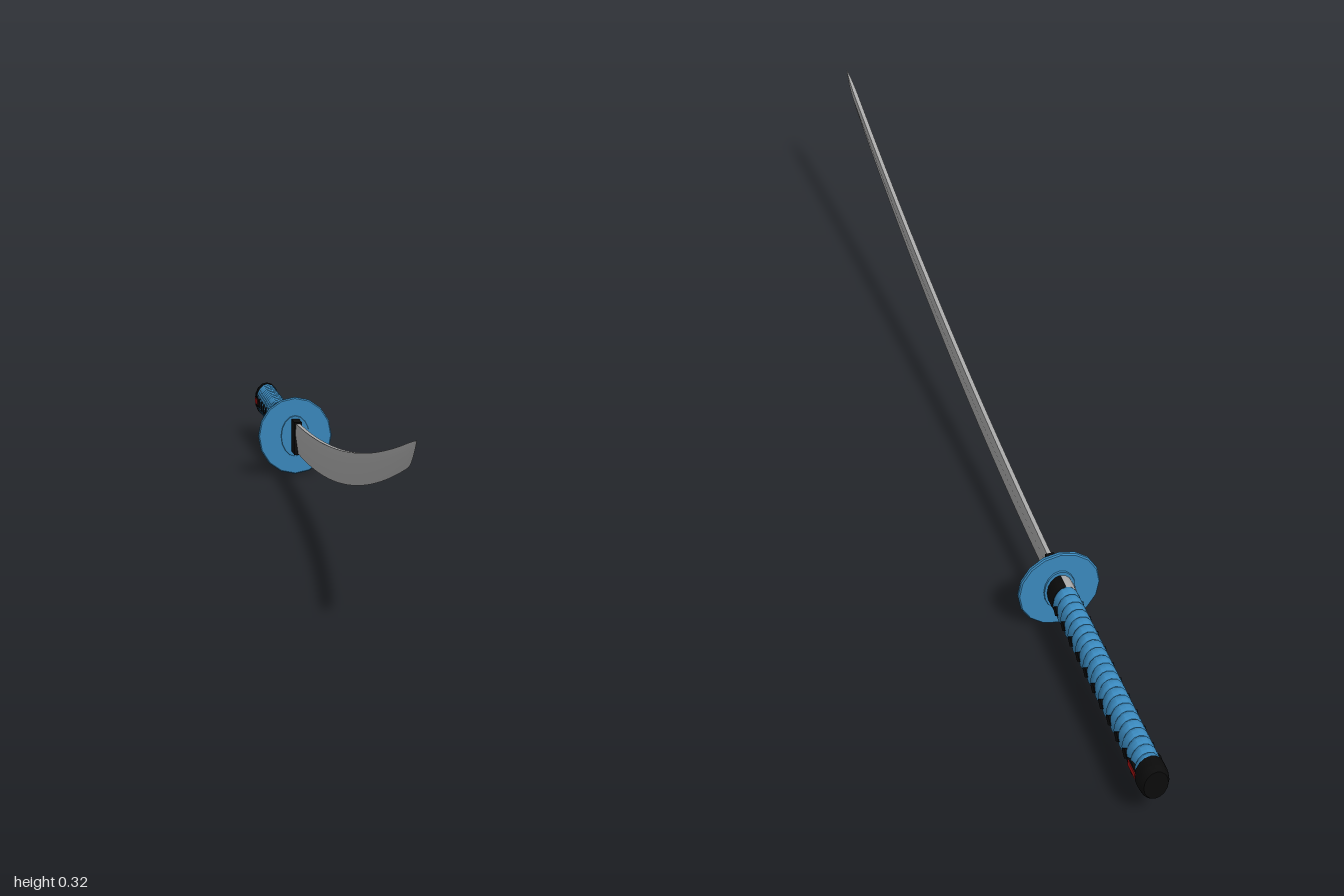
import * as THREE from 'three';
import { toCreasedNormals } from 'three/addons/utils/BufferGeometryUtils.js';

const AXIS_Y = 0.085; // height of the grip axis

function material(name, color) {
  const m = new THREE.MeshStandardMaterial({ color });
  m.name = name;
  return m;
}

// Oval solid along z: profile is [relative radius, z] with z ascending
function oval(profile, rx, ry, sides = 16, start = 0, length = Math.PI * 2) {
  const g = new THREE.LatheGeometry(profile.map(p => new THREE.Vector2(p[0], p[1])), sides, start, length);
  g.rotateX(Math.PI / 2);
  g.scale(rx, ry, 1);
  return toCreasedNormals(g, 0.7);
}

const slab = (z0, z1, bevel = 0.97) => {
  const b = (z1 - z0) * 0.25;
  return [[0, z0], [bevel, z0], [1, z0 + b], [1, z1 - b], [bevel, z1], [0, z1]];
};

// Curved blade swept from five-sided cross-sections, closing to a point
function bladeGeometry() {
  const pos = [], index = [], zs = [];
  for (let i = 0; i <= 32; i++) zs.push(-0.46 + 1.38 * i / 32);
  for (let i = 1; i <= 8; i++) zs.push(0.92 + 0.08 * Math.sin(i / 8 * Math.PI / 2));
  zs.forEach(z => {
    const u = z + 0.43;
    const spine = 0.118 + 0.0375 * u + 0.075 * u * u;
    const f = Math.max(0, (z - 0.92) / 0.08);
    let edge = 0.055 + 0.022 * u + 0.1 * u * u;
    edge += (spine - edge) * f * f * 0.99;
    const ridge = edge + (spine - edge) * 0.68;
    const w = 1 - 0.95 * f * f;
    pos.push(0.004 * w, spine, z, -0.004 * w, spine, z, -0.006 * w, ridge, z, 0, edge, z, 0.006 * w, ridge, z);
  });
  for (let i = 0; i < zs.length - 1; i++) {
    for (let k = 0; k < 5; k++) {
      const a = i * 5 + k, b = i * 5 + (k + 1) % 5;
      index.push(a, b, b + 5, a, b + 5, a + 5);
    }
  }
  const e = (zs.length - 1) * 5;
  for (let k = 1; k < 4; k++) index.push(0, k + 1, k, e, e + k, e + k + 1);
  const g = new THREE.BufferGeometry();
  g.setAttribute('position', new THREE.Float32BufferAttribute(pos, 3));
  g.setIndex(index);
  return toCreasedNormals(g, 0.5);
}

export function createModel() {
  const steel = material('steel', 0xaaaaaa);
  const blue = material('blue wrap', 0x3a88bc);
  const black = material('black', 0x0b0b0b);
  const red = material('red', 0xb01414);

  const model = new THREE.Group();
  model.name = 'sword';
  const add = (name, geometry, mat, x = 0, y = AXIS_Y, z = 0) => {
    const mesh = new THREE.Mesh(geometry, mat);
    mesh.name = name;
    mesh.position.set(x, y, z);
    model.add(mesh);
    return mesh;
  };

  // Blade and the black sleeve at its root
  add('blade', bladeGeometry(), steel, 0, 0);
  add('bladeSleeve', new THREE.BoxGeometry(0.016, 0.068, 0.06), black, 0, 0.087, -0.457);

  // Round guard with an oval washer
  add('guard', oval(slab(-0.487, -0.477), 0.077, 0.081), blue);
  add('guardWasher', oval(slab(-0.49, -0.474), 0.03, 0.0435), blue);

  // Collar behind the guard: one half black, the other steel
  const collar = slab(-0.522, -0.487);
  add('collarLeft', oval(collar, 0.025, 0.036, 8, 0, Math.PI), black);
  add('collarRight', oval(collar, 0.025, 0.036, 8, Math.PI, Math.PI), steel);

  // Grip with rounded wrap ribs
  const ribs = 22, z0 = -0.975, pitch = 0.455 / ribs;
  const grip = [[0, z0]];
  for (let i = 0; i < ribs; i++) {
    const z = z0 + i * pitch;
    grip.push([0.88, z], [0.98, z + pitch * 0.22], [1, z + pitch * 0.5], [0.98, z + pitch * 0.78]);
  }
  grip.push([0.88, z0 + 0.455], [0, z0 + 0.455]);
  add('grip', oval(grip, 0.025, 0.037), blue);

  // Diamond openings in the wrap and a small red ornament on each side
  const diamond = new THREE.CylinderGeometry(1, 1, 1, 4);
  diamond.rotateZ(Math.PI / 2);
  for (const side of [1, -1]) {
    for (let i = 0; i < 10; i++) {
      add('wrapDiamond', diamond, black, side * 0.022, AXIS_Y, -0.542 - i * pitch * 2)
        .scale.set(0.008, 0.011, 0.013);
    }
    add('ornamentBacking', diamond, black, side * 0.022, AXIS_Y, -0.95).scale.set(0.008, 0.013, 0.03);
    add('ornament', new THREE.BoxGeometry(0.008, 0.011, 0.036), red, side * 0.0235, AXIS_Y, -0.953);
  }

  // Rounded end cap
  add('pommel', oval([[0, -1], [0.8, -1], [0.95, -0.993], [1, -0.983], [1, -0.968], [0.9, -0.965], [0, -0.965]], 0.027, 0.038), black);

  return model;
}
